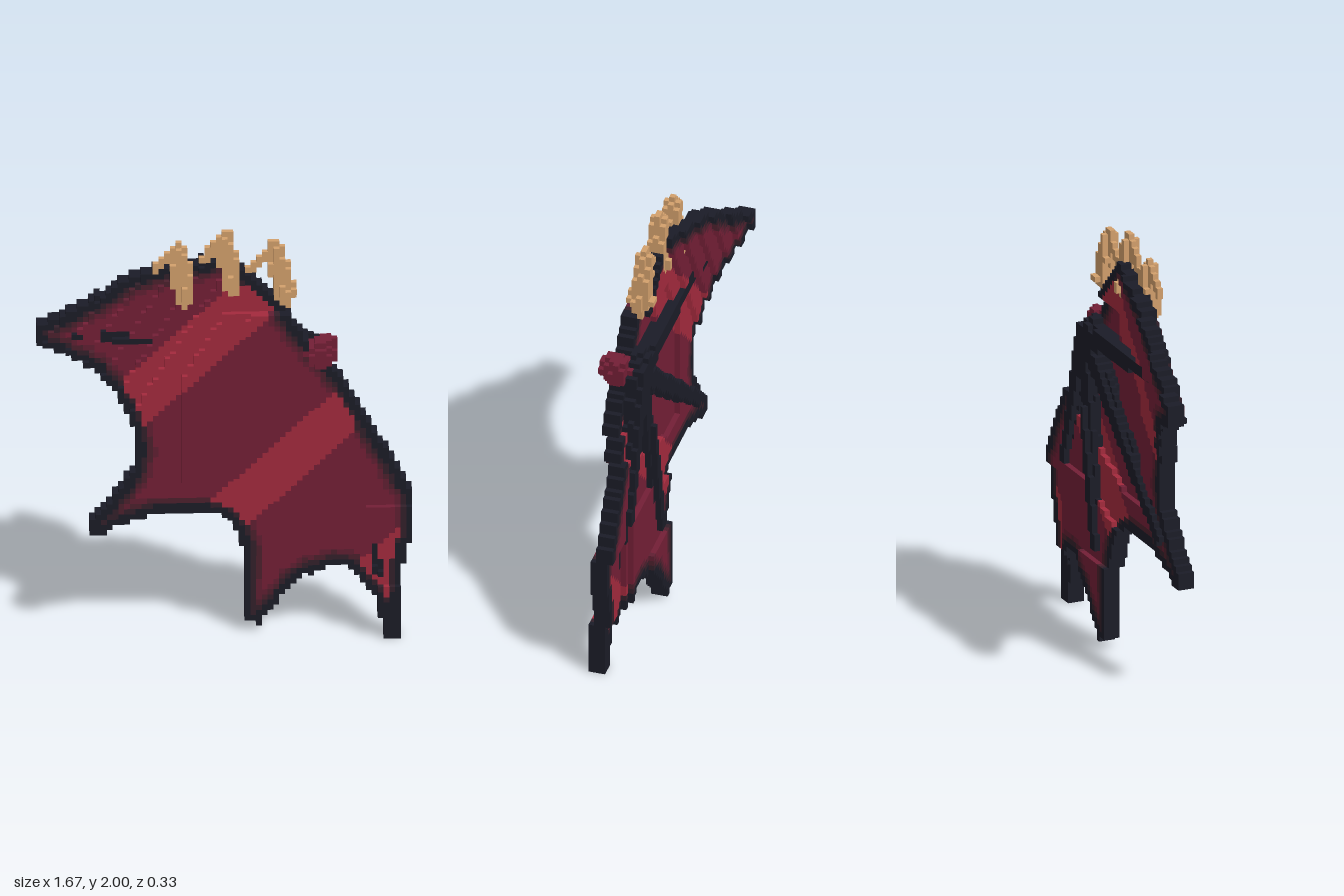
import * as THREE from 'three';

const S = 2 / 78; // cube size
const PALETTE = {
  darkEdge: 0x1b1c27, edgeFadeDark: 0x33202a, edgeFadeMid: 0x4c202d, edgeFadeLight: 0x601f32,
  maroon: 0x731f36, crimson: 0xa32a3d, tan: 0xd3a06c,
};

// Wing outline, clockwise from the far tip
const OUTLINE = [
  -0.84, 1.47, -0.73, 1.53, -0.6, 1.61, -0.5, 1.68, -0.42, 1.74, -0.33, 1.78, -0.1, 1.84, 0, 1.87, 0.06, 1.84,
  0.15, 1.76, 0.25, 1.66, 0.35, 1.51, 0.45, 1.39, 0.53, 1.28, 0.6, 1.14, 0.66, 1.01, 0.75, 0.86, 0.8, 0.75,
  0.84, 0.7, 0.84, 0.47, 0.8, 0.45, 0.79, 0.27, 0.775, 0.2, 0.775, 0, 0.7, 0, 0.7, 0.07, 0.68, 0.17,
  0.65, 0.23, 0.55, 0.32, 0.48, 0.33, 0.4, 0.3, 0.33, 0.25, 0.25, 0.16, 0.15, 0.03, 0.08, 0.06, 0.09, 0.4,
  0.06, 0.5, 0, 0.6, -0.08, 0.62, -0.3, 0.62, -0.4, 0.59, -0.5, 0.55, -0.56, 0.5, -0.6, 0.53, -0.6, 0.59,
  -0.53, 0.65, -0.48, 0.72, -0.41, 0.82, -0.39, 0.93, -0.41, 1.05, -0.45, 1.14, -0.5, 1.22, -0.56, 1.29,
  -0.64, 1.33, -0.74, 1.37, -0.84, 1.4,
];

// Signed distance to the outline: positive inside
function insideDistance(x, y) {
  const n = OUTLINE.length / 2;
  let inside = false, best = Infinity;
  for (let i = 0; i < n; i++) {
    const j = (i + 1) % n;
    const ax = OUTLINE[2 * i], ay = OUTLINE[2 * i + 1], bx = OUTLINE[2 * j], by = OUTLINE[2 * j + 1];
    if ((ay > y) !== (by > y) && x < ax + ((y - ay) / (by - ay)) * (bx - ax)) inside = !inside;
    const dx = bx - ax, dy = by - ay;
    const t = THREE.MathUtils.clamp(((x - ax) * dx + (y - ay) * dy) / (dx * dx + dy * dy), 0, 1);
    best = Math.min(best, Math.hypot(x - ax - t * dx, y - ay - t * dy));
  }
  return inside ? best : -best;
}

// Rearmost cube layer of the wing at a point; the wing is three layers thick
function backLayer(x, y) {
  // middle panel and shoulder panel step forward, the far tip sweeps back
  let cap = 0;
  if (x > -0.18 && y > 0.78 + 0.42 * Math.max(0, x) && y < 1.62) cap = 1;
  if (x > 0.08 && y > 1.16 && y < 1.62) cap = 2;
  const sweep = x - 0.6 * (y - 1.4);
  let back = Math.max(-6, Math.min(cap, -1 - Math.ceil((-0.354 - sweep) / 0.112)));
  // lower panel falls back in two steps
  if (x < 0.6 && y < Math.min(0.73, 0.57 + 0.45 * x)) back--;
  if (x > 0 && x < 0.36 && y < 0.38) back--;
  // near tip comes forward in two steps
  if (x > 0.62 && y < 0.65) back++;
  if (x > 0.67 && y < 0.26) back++;
  return back;
}

export function createModel() {
  const cells = new Map(); // "i,j,k" -> part key
  const parts = new Map(); // part key -> material name
  const put = (i, j, k, part, colour) => {
    parts.set(part, colour);
    cells.set(`${i},${j},${k}`, part);
  };

  // Membrane with dark rim, fading edge and diagonal stripes
  for (let i = -32; i <= 32; i++) for (let j = 0; j < 76; j++) {
    const x = i * S, y = (j + 0.5) * S, d = insideDistance(x, y);
    if (d < 0) continue;
    const stripe = THREE.MathUtils.euclideanModulo(y - x - 0.43, 0.97) < 0.31;
    let part = 'membrane', colour = 'maroon';
    if (d < 0.038) { part = 'wingRim'; colour = 'darkEdge'; }
    else if (d < 0.052) { part = 'rimFadeInner'; colour = 'edgeFadeDark'; }
    else if (stripe) { part = 'stripes'; colour = 'crimson'; }
    else if (d < 0.068) { part = 'rimFadeMiddle'; colour = 'edgeFadeMid'; }
    else if (d < 0.085) { part = 'rimFadeOuter'; colour = 'edgeFadeLight'; }
    const back = backLayer(x, y);
    for (let k = back; k < back + 3; k++) put(i, j, k, part, colour);
  }

  // Tapered bar of cubes from a to b
  function bar(a, b, ra, rb, part, colour) {
    const A = new THREE.Vector3(...a), B = new THREE.Vector3(...b), p = new THREE.Vector3();
    const steps = Math.ceil(A.distanceTo(B) / (S * 0.5));
    for (let s = 0; s <= steps; s++) {
      p.lerpVectors(A, B, s / steps);
      const r = ra + (rb - ra) * (s / steps), n = Math.ceil(r / S) + 1;
      const c = [Math.round(p.x / S), Math.floor(p.y / S), Math.round(p.z / S)];
      put(...c, part, colour);
      for (let i = c[0] - n; i <= c[0] + n; i++)
        for (let j = c[1] - n; j <= c[1] + n; j++)
          for (let k = c[2] - n; k <= c[2] + n; k++) {
            const q = Math.hypot(i * S - p.x, (j + 0.5) * S - p.y, k * S - p.z);
            if (q < r) put(i, j, k, part, colour);
          }
    }
  }

  // Finger bones fanning out over the back from a hub
  const hub = [0.41, 1.4, 0.012];
  const bones = [
    [hub, [-0.54, 1.46, -0.027], 0.056, 0.026],
    [[-0.66, 1.45, -0.06], [-0.64, 1.45, -0.06], 0.01, 0.01],
    [hub, [-0.42, 0.7, -0.015], 0.056, 0.028],
    [hub, [0.22, 0.46, -0.045], 0.056, 0.024],
    [hub, [0.6, 0.75, -0.015], 0.056, 0.026],
    [[0.6, 0.75, -0.012], [0.68, 0.33, 0.085], 0.024, 0.024],
  ];
  for (const [a, b, ra, rb] of bones) bar(a, b, ra, rb, 'fingerBones', 'darkEdge');
  bar([0.35, 1.42, 0.025], [0.42, 1.33, 0.025], 0.065, 0.065, 'boneHub', 'darkEdge');

  // Shoulder knob on the front
  bar([0.425, 1.42, 0.09], [0.42, 1.42, 0.135], 0.068, 0.045, 'shoulderKnob', 'maroon');
  bar([0.47, 1.425, 0.07], [0.47, 1.46, 0.075], 0.04, 0.03, 'shoulderKnob', 'maroon');

  // Three claws along the top, each with a thin barb and a bulbous root
  for (const [x, y] of [[-0.205, 1.95], [0.005, 2], [0.225, 1.95]]) {
    const lean = x > 0.2 ? 0.04 : 0.025;
    const claw = (a, b, ra, rb) => bar(
      [x + a[0], y + a[1], a[2]], [x + b[0], y + b[1], b[2]], ra, rb, 'claws', 'tan');
    claw([0, -0.012, 0.026], [0, -0.03, 0.026], 0.01, 0.028);
    claw([0, -0.03, 0.026], [lean * 0.4, -0.13, 0.026], 0.028, 0.044);
    claw([lean * 0.4, -0.13, 0.026], [lean, -0.25, 0.03], 0.046, 0.05);
    claw([lean, -0.25, 0.03], [lean * 1.2, -0.3, 0.03], 0.05, 0.025);
    claw([lean, -0.25, -0.02], [lean, -0.25, 0.077], 0.022, 0.022);
    claw([-0.01, -0.04, 0.026], [-0.11, -0.145, 0.026], 0.022, 0.018);
  }

  // Outer faces of the cubes, gathered by part
  const buffers = new Map();
  for (const [key, part] of cells) {
    const c = key.split(',').map(Number);
    if (!buffers.has(part)) buffers.set(part, { pos: [], nor: [], idx: [] });
    const { pos, nor, idx } = buffers.get(part);
    for (let axis = 0; axis < 3; axis++) for (const dir of [-1, 1]) {
      const next = c.slice();
      next[axis] += dir;
      if (cells.has(next.join(','))) continue;
      const u = (axis + 1) % 3, v = (axis + 2) % 3, start = pos.length / 3;
      for (const [a, b] of [[0, 0], [1, 0], [1, 1], [0, 1]]) {
        const p = c.slice(), n = [0, 0, 0];
        if (dir > 0) p[axis] += 1;
        p[u] += a;
        p[v] += b;
        n[axis] = dir;
        pos.push((p[0] - 0.5) * S, p[1] * S, (p[2] - 0.5) * S);
        nor.push(...n);
      }
      const order = dir > 0 ? [0, 1, 2, 0, 2, 3] : [0, 2, 1, 0, 3, 2];
      idx.push(...order.map((o) => start + o));
    }
  }

  const materials = {};
  for (const [name, color] of Object.entries(PALETTE)) {
    materials[name] = new THREE.MeshStandardMaterial({ color });
    materials[name].name = name;
  }
  const model = new THREE.Group();
  model.name = 'wing';
  for (const [part, { pos, nor, idx }] of buffers) {
    const geometry = new THREE.BufferGeometry();
    geometry.setAttribute('position', new THREE.Float32BufferAttribute(pos, 3));
    geometry.setAttribute('normal', new THREE.Float32BufferAttribute(nor, 3));
    geometry.setIndex(idx);
    const mesh = new THREE.Mesh(geometry, materials[parts.get(part)]);
    mesh.name = part;
    model.add(mesh);
  }
  return model;
}
